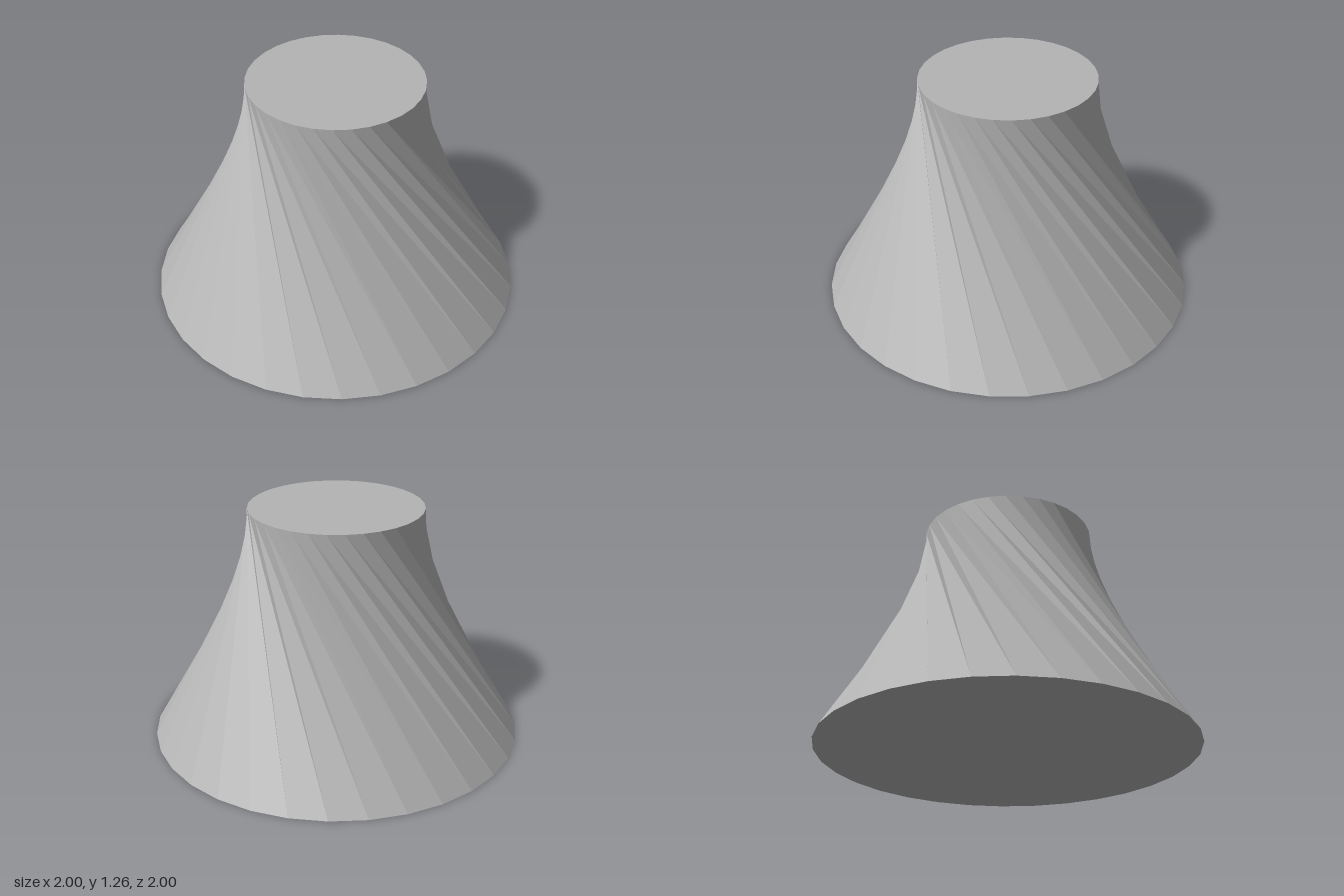
import * as THREE from 'three';

const SIDES = 32;
const STEP = (Math.PI * 2) / SIDES;
const HEIGHT = 1.262;
const BOTTOM = { radius: 1.002, y: 0, turn: Math.PI / 6 };
const TOP = { radius: 0.463, y: HEIGHT, turn: -Math.PI / 6 };

// Corner i of a ring, counted from +z towards +x
function corner(ring, i) {
  const a = ring.turn + i * STEP;
  return [ring.radius * Math.sin(a), ring.y, ring.radius * Math.cos(a)];
}

// Flat-faced side wall joining the two rings, turned against each other
function twistedWall() {
  const points = [];
  for (let i = 0; i < SIDES; i++) {
    const b0 = corner(BOTTOM, i), b1 = corner(BOTTOM, i + 1);
    const t0 = corner(TOP, i), t1 = corner(TOP, i + 1);
    points.push(...b0, ...b1, ...t0, ...b1, ...t1, ...t0);
  }
  const geometry = new THREE.BufferGeometry();
  geometry.setAttribute('position', new THREE.Float32BufferAttribute(points, 3));
  geometry.computeVertexNormals();
  return geometry;
}

// Flat disc closing a ring, facing up (1) or down (-1)
function cap(ring, facing) {
  const geometry = new THREE.CircleGeometry(ring.radius, SIDES, facing * ring.turn);
  geometry.rotateX(-facing * Math.PI / 2);
  geometry.translate(0, ring.y, 0);
  return geometry;
}

export function createModel() {
  const group = new THREE.Group();
  group.name = 'twistedFrustum';
  const gray = new THREE.MeshStandardMaterial({ color: 0xb4b4b4 });
  gray.name = 'gray';

  const add = (name, geometry) => {
    const mesh = new THREE.Mesh(geometry, gray);
    mesh.name = name;
    group.add(mesh);
  };
  add('twistedWall', twistedWall());
  add('topCap', cap(TOP, 1));
  add('bottomCap', cap(BOTTOM, -1));
  return group;
}
